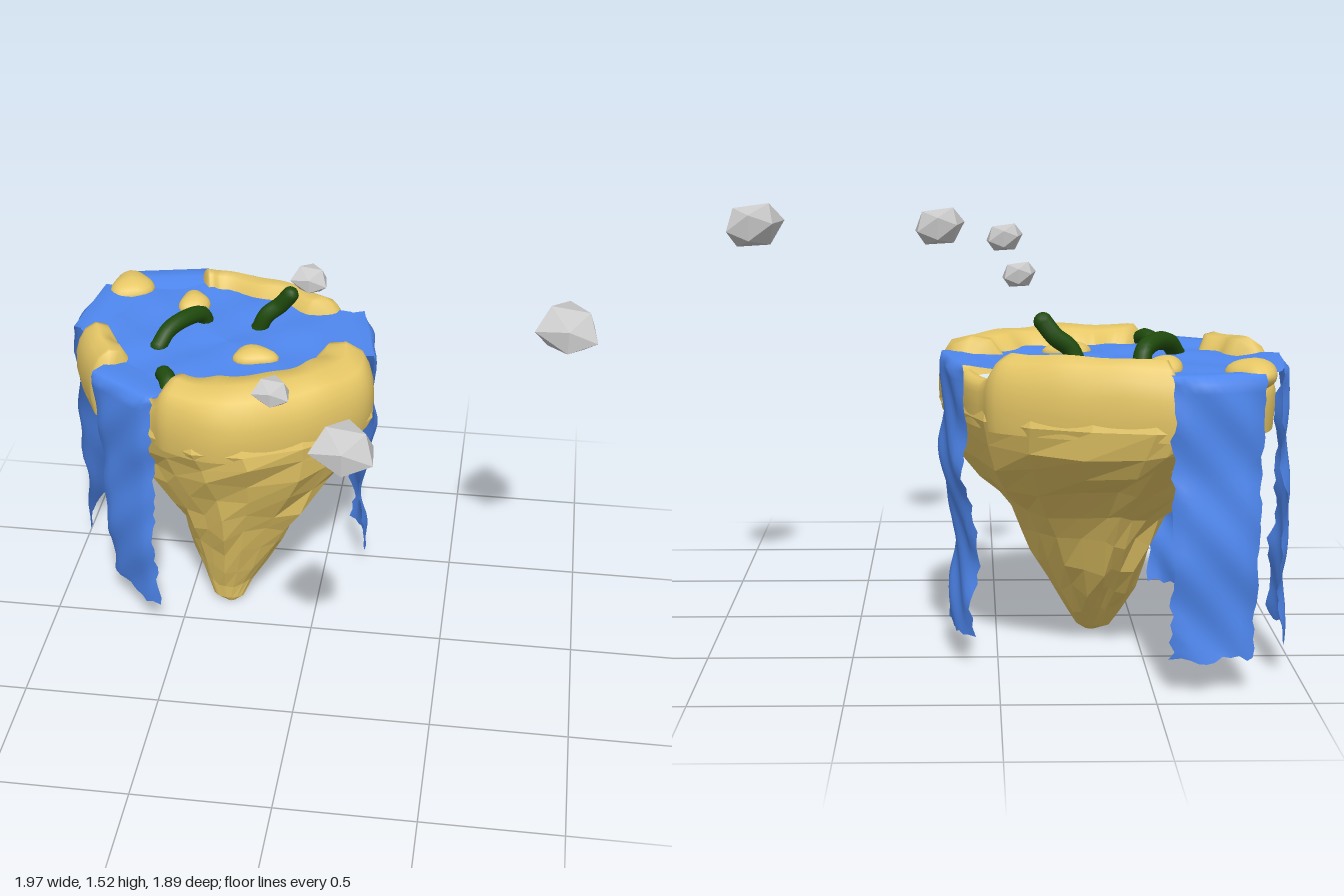
import * as THREE from 'three';

const mat = (color, opts = {}) => new THREE.MeshStandardMaterial({ color, ...opts });
const V = (x, y, z) => new THREE.Vector3(x, y, z);
const hash = (n) => { const s = Math.sin(n * 127.1 + 11.7) * 43758.5453; return (s - Math.floor(s)) * 2 - 1; };
const lerp = THREE.MathUtils.lerp;

// plan outline of the island, clockwise from the back
const OUT = [[-0.5, -0.92], [-0.18, -0.84], [0.08, -0.67], [0.18, -0.36], [0.19, -0.16], [0, 0.04], [-0.32, 0.16],
  [-0.58, 0.08], [-0.78, -0.04], [-0.88, -0.2], [-0.96, -0.4], [-0.92, -0.74], [-0.8, -0.86], [-0.62, -0.92]];
const M = OUT.length;
const outline = new THREE.CatmullRomCurve3(OUT.map(([x, z]) => V(x, 0, z)), true);
const CX = -0.37, CZ = -0.38;
// inner edge of the rim as a share of the outline, per outline point
const INNER = [0.74, 0.72, 0.74, 0.66, 0.58, 0.56, 0.52, 0.66, 0.74, 0.72, 0.76, 0.74, 0.74, 0.74];
// where water spills over, in outline point numbers
const GAPS = [[2.05, 2.85], [7.1, 8.2], [10.1, 13.2]];

function rimAmount(t) {
  let a = 1;
  for (const [g0, g1] of GAPS) {
    const d = t < g0 ? g0 - t : t > g1 ? t - g1 : 0;
    a = Math.min(a, THREE.MathUtils.smoothstep(d, 0, 0.33));
  }
  return a;
}
const innerAt = (t) => {
  const i = Math.floor(t) % M;
  return lerp(INNER[i], INNER[(i + 1) % M], t - Math.floor(t));
};
const scaled = (t, s, y) => {
  const p = outline.getPoint(t / M);
  return V(CX + (p.x - CX) * s, y, CZ + (p.z - CZ) * s);
};
// outline squeezed into the box x0..x1, z0..z1
const boxed = (t, y, x0, x1, z0, z1) => {
  const p = outline.getPoint(t / M);
  return V(lerp(x0, x1, (p.x + 0.96) / 1.15), y, lerp(z0, z1, (p.z + 0.92) / 1.08));
};

// skin over closed rings of equal length
function loft(rings) {
  const n = rings[0].length, pos = [], idx = [];
  rings.forEach((r) => r.forEach((p) => pos.push(p.x, p.y, p.z)));
  for (let j = 0; j < rings.length - 1; j++) for (let i = 0; i < n; i++) {
    const a = j * n + i, b = j * n + (i + 1) % n;
    idx.push(a, a + n, b, b, a + n, b + n);
  }
  const g = new THREE.BufferGeometry();
  g.setAttribute('position', new THREE.Float32BufferAttribute(pos, 3));
  g.setIndex(idx);
  g.computeVertexNormals();
  return g;
}
const ring = (n, f) => Array.from({ length: n }, (_, i) => f((i / n) * M, i));

export function createModel() {
  const root = new THREE.Group();
  const add = (name, geo, material) => {
    const m = new THREE.Mesh(geo, material);
    m.name = name;
    root.add(m);
    return m;
  };
  const earth = mat(0xe6c766);
  const crag = mat(0xe6c766, { flatShading: true });
  const water = mat(0x4f88f0, { side: THREE.DoubleSide });
  const green = mat(0x1f4a0c);
  const stone = mat(0xcccccc, { flatShading: true });

  // faceted underside tapering to an off-centre tip
  const rows = [[0, -0.36, -0.32, -0.17, -0.13], [0.02, -0.41, -0.29, -0.2, -0.12], [0.1, -0.45, -0.25, -0.28, -0.11],
    [0.19, -0.49, -0.19, -0.36, -0.08], [0.29, -0.53, -0.13, -0.44, -0.04], [0.4, -0.55, -0.09, -0.5, 0],
    [0.5, -0.6, -0.03, -0.56, 0.035], [0.6, -0.7, 0.05, -0.67, 0.07], [0.7, -0.82, 0.13, -0.83, 0.12],
    [0.78, -0.885, 0.175, -0.885, 0.15], [0.86, -0.955, 0.195, -0.925, 0.168], [0.92, -0.94, 0.18, -0.91, 0.15]];
  add('cragUnderside', loft(rows.map((r, j) => ring(22, (t, i) => {
    const p = boxed(t, ...r);
    const k = j > 1 && j < 10 ? 1 : 0;
    const s = (1 + 0.05 * k * hash(i + j * 31)) * (j > 7 ? 0.94 + 0.06 * rimAmount(t) : 1);
    const cx = (r[1] + r[2]) / 2, cz = (r[3] + r[4]) / 2;
    return V(cx + (p.x - cx) * s, p.y + 0.025 * k * hash(i * 3 + j * 17), cz + (p.z - cz) * s);
  }))), crag);

  // rounded rim, drawn in and sunk below the water at the gaps
  const rim = [
    (t, a) => scaled(t, 0.93 + 0.055 * a, 0.83),
    (t, a) => scaled(t, 0.94 + 0.065 * a, 0.9),
    (t, a) => scaled(t, 0.94 + 0.06 * a, 0.95 + 0.02 * a),
    (t, a) => scaled(t, 0.93 + 0.045 * a, 0.97 + 0.05 * a),
    (t, a) => scaled(t, 0.92 + 0.01 * a, 0.98 + 0.085 * a),
    (t, a, w) => scaled(t, lerp(0.92, w, 0.35), 0.99 + 0.1 * a),
    (t, a, w) => scaled(t, lerp(0.92, w, 0.75), 0.99 + 0.09 * a),
    (t, a, w) => scaled(t, w, 0.99 + 0.035 * a),
    (t, a, w) => scaled(t, w - 0.06, 0.97),
  ];
  add('islandRim', loft(rim.map((f, j) => ring(140, (t) => {
    const a = rimAmount(t);
    const p = f(t, a, lerp(0.86, innerAt(t) + 0.02 * Math.sin(t * 7), a));
    if (j > 1 && j < 7) p.y += 0.006 * Math.sin(p.x * 21) * Math.cos(p.z * 17);
    return p;
  }))), earth);

  // pool surface, reaching the edge where it spills
  add('pool', loft([1, 0.9, 0.75, 0.6, 0.45, 0.3, 0.15, 0].map((s) => ring(84, (t) => {
    const p = scaled(t, s * lerp(0.98, 0.9, rimAmount(t)), 1.032);
    p.y += 0.007 * Math.sin(p.x * 16) * Math.cos(p.z * 19);
    return p;
  }))), water);

  // rippled sheets of falling water: top edge a-b, bottom edge c-d
  const path = [[-0.16, 1.03], [-0.08, 1.045], [-0.02, 1.045], [0.0, 1.02]];
  function waterfall(name, a, b, c, d, wave, phase) {
    const nu = 10, nv = 30, head = path.length - 1;
    const g = new THREE.PlaneGeometry(1, 1, nu, nv + head);
    const pos = g.attributes.position;
    const nrm = new THREE.Vector2(b[1] - a[1], a[0] - b[0]).normalize();
    if (nrm.x * (a[0] - CX) + nrm.y * (a[1] - CZ) < 0) nrm.negate();
    for (let j = 0; j <= nv + head; j++) for (let i = 0; i <= nu; i++) {
      const edge = i === 0 || i === nu;
      const f = Math.max(0, (j - head) / nv);
      const u = i / nu + (edge ? 0.03 * hash(j * 5 + i + phase) : 0);
      let o = j < head ? path[j][0] : wave * Math.sin(f * 10 + phase) * Math.min(1, f * 3);
      if (j >= head) o += 0.006 * Math.sin(u * 9 + f * 25 + phase) - 0.02 * Math.pow(Math.abs(2 * u - 1), 6);
      let y = j < head ? path[j][1] : lerp(1.02, 0.115, f);
      if (j === nv + head) y += 0.012 * hash(i * 3 + phase);
      const x = lerp(lerp(a[0], b[0], u), lerp(c[0], d[0], u), f);
      const z = lerp(lerp(a[1], b[1], u), lerp(c[1], d[1], u), f);
      pos.setXYZ(j * (nu + 1) + i, x + nrm.x * o, y, z + nrm.y * o);
    }
    g.computeVertexNormals();
    add(name, g, water);
  }
  waterfall('frontWaterfall', [-0.83, -0.06], [-0.58, 0.11], [-0.81, -0.11], [-0.59, 0.1], 0.008, 1);
  waterfall('leftWaterfall', [0.14, -0.66], [0.21, -0.33], [0.09, -0.62], [0.165, -0.38], 0.018, 4.4);
  waterfall('backWaterfall', [-0.85, -0.89], [-0.55, -0.955], [-0.83, -0.9], [-0.56, -0.94], 0.01, 2);
  waterfall('rightWaterfall', [-0.94, -0.76], [-0.985, -0.39], [-0.96, -0.73], [-0.975, -0.38], 0.008, 3);

  // sandy islets in the pool: x, z, radii, height
  const islets = [[-0.55, -0.66, 0.06, 0.075, 0.045], [-0.25, -0.28, 0.085, 0.06, 0.04], [-0.82, -0.765, 0.085, 0.1, 0.05]];
  for (const [x, z, rx, rz, h] of islets) {
    const g = new THREE.SphereGeometry(1, 20, 12);
    const p = g.attributes.position;
    for (let i = 0; i < p.count; i++) {
      const k = 1 + 0.12 * Math.sin(3 * Math.atan2(p.getZ(i), p.getX(i)) + 1);
      p.setXYZ(i, p.getX(i) * k * rx, p.getY(i) * h, p.getZ(i) * k * rz);
    }
    g.computeVertexNormals();
    add('islet', g, earth).position.set(x, 1.03, z);
  }

  // bent green stems rising from the water
  const stems = [
    [[-0.62, 1.03, -0.31], [-0.59, 1.075, -0.36], [-0.54, 1.09, -0.43], [-0.49, 1.07, -0.51], [-0.48, 1.03, -0.53]],
    [[-0.27, 1.02, -0.52], [-0.24, 1.08, -0.52], [-0.19, 1.12, -0.53], [-0.15, 1.17, -0.525]],
    [[-0.56, 1.02, -0.11], [-0.55, 1.05, -0.08], [-0.53, 1.05, -0.04], [-0.52, 1.03, -0.01]],
  ];
  for (const pts of stems) {
    const curve = new THREE.CatmullRomCurve3(pts.map((p) => V(...p)));
    add('greenStem', new THREE.TubeGeometry(curve, 20, 0.032, 10), green);
    for (const e of [0, 1]) add('stemEnd', new THREE.SphereGeometry(0.032, 10, 8), green).position.copy(curve.getPoint(e));
  }

  // faceted floating stones, broader towards the front
  const rock = new THREE.IcosahedronGeometry(1, 0);
  const rp = rock.attributes.position;
  for (let i = 0; i < rp.count; i++) {
    const v = V(0, 0, 0).fromBufferAttribute(rp, i);
    const key = Math.round(v.x * 50) + Math.round(v.y * 50) * 1.7 + Math.round(v.z * 50) * 2.3;
    v.multiplyScalar(1 + 0.12 * hash(key));
    v.x *= 0.95 + 0.2 * v.z;
    v.y -= 0.25 * v.x;
    rp.setXYZ(i, v.x, v.y, v.z);
  }
  rock.computeVertexNormals();
  for (const [x, y, z, r] of [[0.885, 1.44, 0.1, 1], [0.22, 1.38, 0.85, 0.95], [-0.025, 1.42, -0.18, 0.6], [-0.09, 1.24, 0.31, 0.6]]) {
    const m = add('floatingStone', rock, stone);
    m.position.set(x, y, z);
    m.scale.set(0.125 * r, 0.085 * r, 0.125 * r);
  }
  return root;
}
